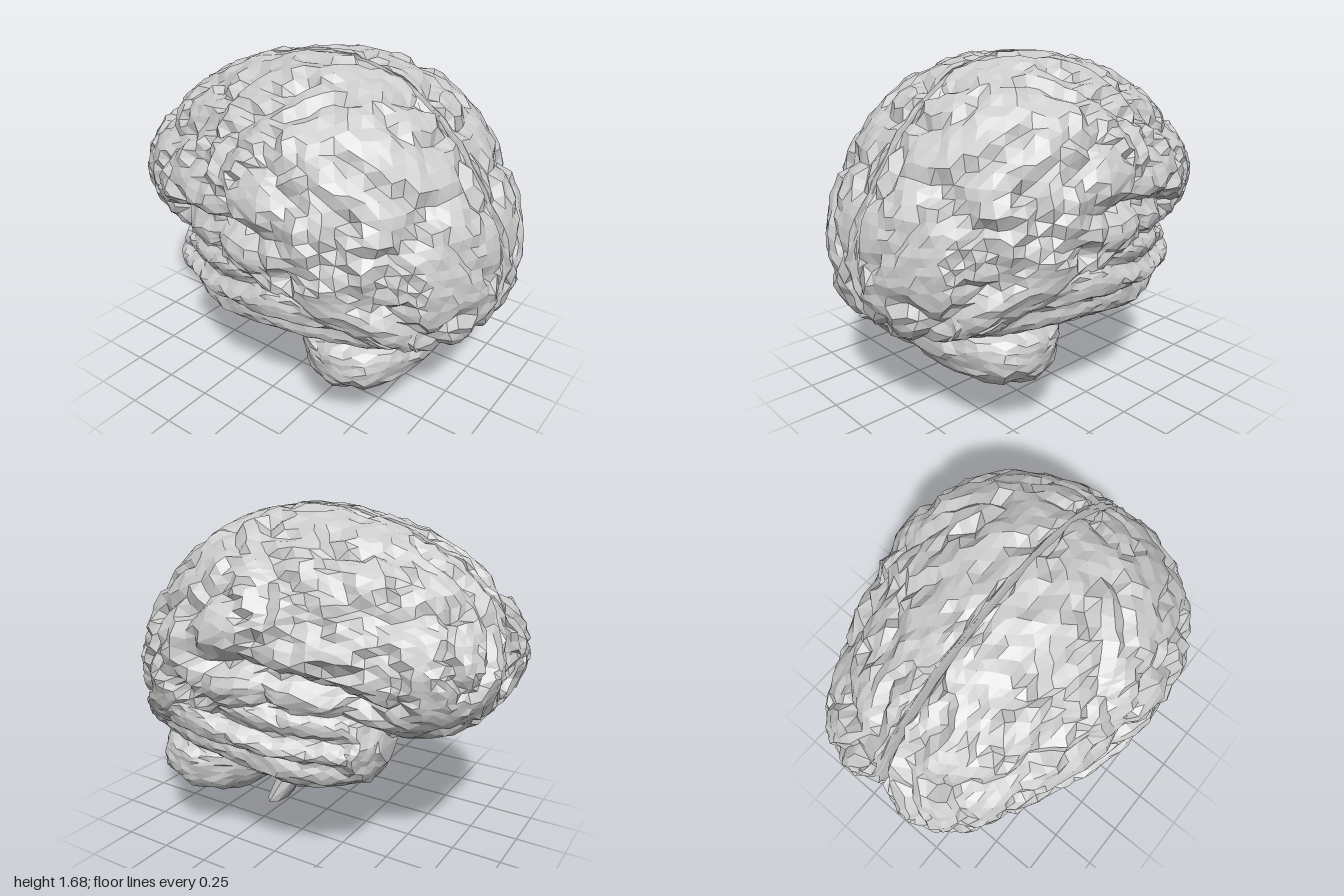
import * as THREE from 'three';
import { mergeVertices } from 'three/addons/utils/BufferGeometryUtils.js';

const material = new THREE.MeshStandardMaterial({ color: 0xcccccc, flatShading: true });

// Linear interpolation in rows of
// [x, top, bottom, middle y, outer z, middle z, inner z, upper power, lower power]
function rowAt(rows, x) {
  let i = 1;
  while (i < rows.length - 1 && rows[i][0] < x) i++;
  const a = rows[i - 1], b = rows[i], t = (x - a[0]) / (b[0] - a[0]);
  return a.map((v, k) => v + (b[k] - v) * t);
}

// Distance from (x, y) to a polyline
function lineDistance(x, y, line) {
  let best = 9;
  for (let i = 1; i < line.length; i++) {
    const [ax, ay] = line[i - 1], dx = line[i][0] - ax, dy = line[i][1] - ay;
    const t = THREE.MathUtils.clamp(((x - ax) * dx + (y - ay) * dy) / (dx * dx + dy * dy), 0, 1);
    best = Math.min(best, Math.hypot(x - ax - t * dx, y - ay - t * dy));
  }
  return best;
}

// Winding fold pattern: 1 in the furrows, 0 on the ridges
function furrow(x, y, z, k) {
  x = k * x + 0.9 * Math.sin(5 * z + 3 * y);
  y = k * y + 0.9 * Math.sin(6 * x / k + 1);
  z = k * z + 0.9 * Math.sin(5 * y / k);
  const g = Math.sin(x) * Math.cos(y) + Math.sin(y) * Math.cos(z) + Math.sin(z) * Math.cos(x);
  return Math.exp(-((g / 0.35) ** 2));
}

// A lobe: a faceted sphere reshaped by its rows, then carved along its normals.
// The powers set how boxy the outer side is; wall does the same for the inner side.
function lobeGeometry({ rows, detail, wall, swell = 0, fold = 0, freq = 12, jitter, grooves = [] }) {
  let geo = new THREE.IcosahedronGeometry(1, detail);
  geo.deleteAttribute('uv');
  geo.deleteAttribute('normal');
  geo = mergeVertices(geo, 1e-4);
  const p = geo.attributes.position;
  const x0 = rows[0][0], x1 = rows[rows.length - 1][0];
  for (let i = 0; i < p.count; i++) {
    const x = x0 + (x1 - x0) * (p.getX(i) + 1) / 2;
    const [, top, bottom, midY, outer, midZ, inner, upper, lower] = rowAt(rows, x);
    const r = Math.hypot(p.getY(i), p.getZ(i));
    let cy = r > 1e-4 ? p.getY(i) / r : 0, cz = r > 1e-4 ? p.getZ(i) / r : 0;
    if (cz > 0) {
      const power = cy < 0 ? lower : upper;
      const k = (Math.abs(cy) ** power + cz ** power) ** (-1 / power);
      cy *= k;
      cz *= k;
    } else cz = -(Math.abs(cz) ** wall);
    p.setXYZ(i, x,
      midY + cy * (cy > 0 ? top - midY : midY - bottom),
      midZ + cz * (cz > 0 ? outer - midZ : midZ - inner));
  }
  geo.computeVertexNormals();
  const n = geo.attributes.normal;
  let seed = 7;
  const rand = () => (seed = (seed * 16807) % 2147483647) / 2147483647 - 0.5;
  for (let i = 0; i < p.count; i++) {
    const x = p.getX(i), y = p.getY(i), z = p.getZ(i);
    const side = THREE.MathUtils.smoothstep(z, 0.12, 0.3);
    const open = n.getZ(i) < -0.7 ? 0 : 1;
    let d = swell - fold * furrow(x, y, z, freq);
    for (const { line, depth, width } of grooves)
      d -= side * depth * Math.exp(-((lineDistance(x, y, line) / width) ** 2));
    d *= open;
    p.setXYZ(i, x + n.getX(i) * d + rand() * jitter, y + n.getY(i) * d + rand() * jitter,
      Math.max(z + n.getZ(i) * d + rand() * jitter * open, 0.004));
  }
  return geo;
}

// Adds the lobe on the left and its mirror image on the right
function addPair(group, name, spec) {
  const left = lobeGeometry(spec), right = left.clone();
  right.scale(1, 1, -1);
  const idx = right.index.array;
  for (let i = 0; i < idx.length; i += 3) [idx[i], idx[i + 1]] = [idx[i + 1], idx[i]];
  for (const [prefix, g] of [['left', left], ['right', right]]) addMesh(group, prefix + name, g);
}

function addMesh(group, name, geo) {
  const flat = geo.index ? geo.toNonIndexed() : geo;
  flat.computeVertexNormals();
  const mesh = new THREE.Mesh(flat, material);
  mesh.name = name;
  group.add(mesh);
}

const groove = (depth, width, ...line) => ({ depth, width, line });

export function createModel() {
  const brain = new THREE.Group();
  brain.name = 'brain';

  // Frontal, parietal and occipital lobes
  addPair(brain, 'Hemisphere', {
    detail: 16, wall: 0.2, swell: 0.006, fold: 0.04, jitter: 0.02,
    rows: [
      [-0.99, 1.04, 1.01, 1.025, 0.19, 0.17, 0.15, 2, 2],
      [-0.94, 1.19, 0.83, 1.00, 0.36, 0.14, 0.03, 1.8, 2],
      [-0.85, 1.33, 0.74, 1.01, 0.45, 0.09, 0.012, 1.7, 2],
      [-0.70, 1.46, 0.66, 1.02, 0.53, 0.06, 0.01, 1.7, 2.1],
      [-0.50, 1.57, 0.65, 1.04, 0.62, 0.05, 0.008, 1.7, 2.2],
      [-0.25, 1.645, 0.62, 1.06, 0.71, 0.04, 0.004, 1.8, 2.2],
      [0.00, 1.67, 0.60, 1.04, 0.775, 0.04, 0.004, 1.9, 2.2],
      [0.20, 1.67, 0.55, 0.98, 0.795, 0.04, 0.004, 2, 2.2],
      [0.42, 1.60, 0.51, 0.94, 0.77, 0.04, 0.004, 2, 2.4],
      [0.60, 1.48, 0.49, 0.90, 0.69, 0.05, 0.007, 2, 2.7],
      [0.75, 1.32, 0.48, 0.86, 0.58, 0.06, 0.01, 2, 2.9],
      [0.87, 1.15, 0.48, 0.82, 0.44, 0.07, 0.012, 2, 2.9],
      [0.95, 0.99, 0.56, 0.79, 0.29, 0.08, 0.018, 2, 2.4],
      [0.99, 0.82, 0.70, 0.76, 0.12, 0.08, 0.05, 2, 2],
    ],
    grooves: [
      groove(0.09, 0.05, [-0.55, 0.88], [-0.35, 0.98], [0, 1.04], [0.27, 1.07]),
      groove(0.04, 0.04, [0.08, 1.6], [-0.08, 1.42], [-0.1, 1.2], [0, 1.1]),
      groove(0.04, 0.04, [-0.25, 1.58], [-0.28, 1.35], [-0.25, 1.15]),
      groove(0.04, 0.04, [-0.8, 1.3], [-0.55, 1.25], [-0.35, 1.4]),
      groove(0.04, 0.04, [0.25, 1.15], [0.35, 1.3], [0.55, 1.2]),
      groove(0.05, 0.04, [0.3, 0.88], [0.5, 1.0], [0.56, 1.2]),
      groove(0.05, 0.04, [0.78, 1.2], [0.68, 0.85], [0.85, 0.62]),
    ],
  });

  // Temporal lobes, with their two long furrows
  addPair(brain, 'TemporalLobe', {
    detail: 12, wall: 0.8, swell: 0.004, fold: 0.01, jitter: 0.014,
    rows: [
      [-0.56, 0.74, 0.60, 0.67, 0.48, 0.40, 0.30, 2, 2],
      [-0.50, 0.83, 0.50, 0.68, 0.58, 0.39, 0.23, 2.2, 2.1],
      [-0.35, 0.89, 0.45, 0.69, 0.66, 0.42, 0.17, 2.2, 2.1],
      [-0.20, 0.93, 0.43, 0.70, 0.72, 0.44, 0.15, 2.2, 2.1],
      [0.00, 0.97, 0.46, 0.74, 0.77, 0.44, 0.14, 2.1, 2.1],
      [0.20, 1.00, 0.49, 0.76, 0.78, 0.44, 0.14, 2, 2.1],
      [0.40, 0.98, 0.50, 0.76, 0.74, 0.42, 0.14, 2, 2.1],
      [0.60, 0.90, 0.50, 0.72, 0.65, 0.38, 0.15, 2, 2.1],
      [0.80, 0.70, 0.52, 0.60, 0.47, 0.30, 0.18, 2, 2],
    ],
    grooves: [
      groove(0.06, 0.04, [-0.45, 0.72], [-0.2, 0.73], [0.1, 0.8], [0.4, 0.92]),
      groove(0.05, 0.04, [-0.42, 0.58], [0, 0.61], [0.3, 0.63], [0.6, 0.62]),
    ],
  });

  // Cerebellum
  addPair(brain, 'Cerebellum', {
    detail: 6, wall: 0.3, jitter: 0.018,
    rows: [
      [0.08, 0.44, 0.36, 0.40, 0.24, 0.13, 0.03, 3, 2],
      [0.17, 0.51, 0.29, 0.42, 0.46, 0.20, 0.01, 3.5, 2.4],
      [0.30, 0.53, 0.22, 0.42, 0.59, 0.22, 0.006, 3.5, 2.6],
      [0.45, 0.54, 0.22, 0.42, 0.64, 0.22, 0.006, 3.5, 2.7],
      [0.60, 0.54, 0.25, 0.42, 0.60, 0.20, 0.006, 3.5, 2.7],
      [0.70, 0.53, 0.31, 0.43, 0.48, 0.17, 0.01, 3.5, 2.4],
      [0.76, 0.48, 0.39, 0.44, 0.30, 0.14, 0.03, 3, 2],
    ],
  });

  // Brain stem: rings of [x, y, half depth, half width], from the top down
  const rings = [
    [0.08, 0.70, 0.14, 0.14], [0.08, 0.48, 0.15, 0.17], [0.13, 0.36, 0.14, 0.16],
    [0.20, 0.25, 0.10, 0.12], [0.25, 0.14, 0.065, 0.075], [0.31, 0.012, 0.045, 0.12],
  ];
  const stem = new THREE.CylinderGeometry(1, 1, rings.length - 1, 8, rings.length - 1);
  const sp = stem.attributes.position;
  for (let i = 0; i < sp.count; i++) {
    const [x, y, rx, rz] = rings[Math.round((rings.length - 1) / 2 - sp.getY(i))];
    const dx = sp.getX(i) * rx;
    sp.setXYZ(i, x + dx, y + dx * 0.25, sp.getZ(i) * rz);
  }
  addMesh(brain, 'brainStem', stem);

  // Bridge between the two hemispheres
  const bridge = new THREE.IcosahedronGeometry(1, 3);
  bridge.scale(0.52, 0.3, 0.06).translate(0.06, 0.95, 0);
  addMesh(brain, 'corpusCallosum', bridge);

  return brain;
}
